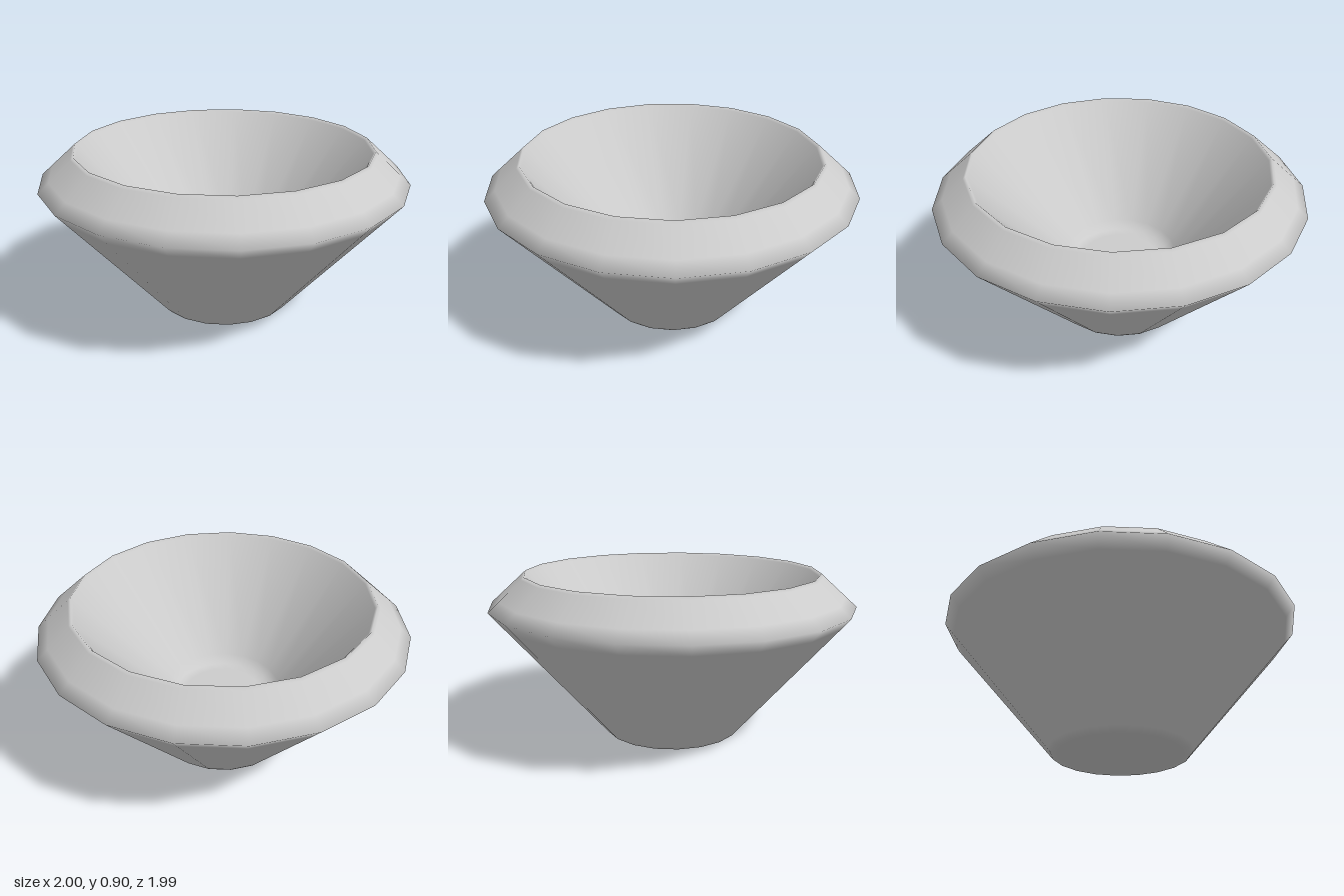
import * as THREE from 'three';

const SIDES = 19;

// Half cross-section, bottom centre -> outside -> rim -> inside floor.
const corners = [[0, 0], [0.38, 0], [1.0035, 0.73], [0.81, 0.905], [0.28, 0.27], [0, 0.27]];
const SOFT = [0, 0.03, 0.08, 0.02, 0.06, 0]; // distance of the support rings beside each corner

// Adds a ring on either side of every corner so smooth shading stays near the edges.
function profile() {
  const v = corners.map(([x, y]) => new THREE.Vector2(x, y));
  const toward = (a, b, d) => a.clone().add(b.clone().sub(a).setLength(d));
  const points = [];
  v.forEach((p, i) => {
    if (SOFT[i] > 0) points.push(toward(p, v[i - 1], SOFT[i]));
    points.push(p);
    if (SOFT[i] > 0) points.push(toward(p, v[i + 1], SOFT[i]));
  });
  return points;
}

export function createModel() {
  const model = new THREE.Group();
  model.name = 'bowl';

  // One turned shell with a corner of the polygon pointing to the back
  const geometry = new THREE.LatheGeometry(profile(), SIDES, Math.PI);
  const shell = new THREE.Mesh(geometry, new THREE.MeshStandardMaterial({ color: 0xcccccc }));
  shell.name = 'bowlShell';
  shell.position.z = 0.007;
  model.add(shell);
  return model;
}
